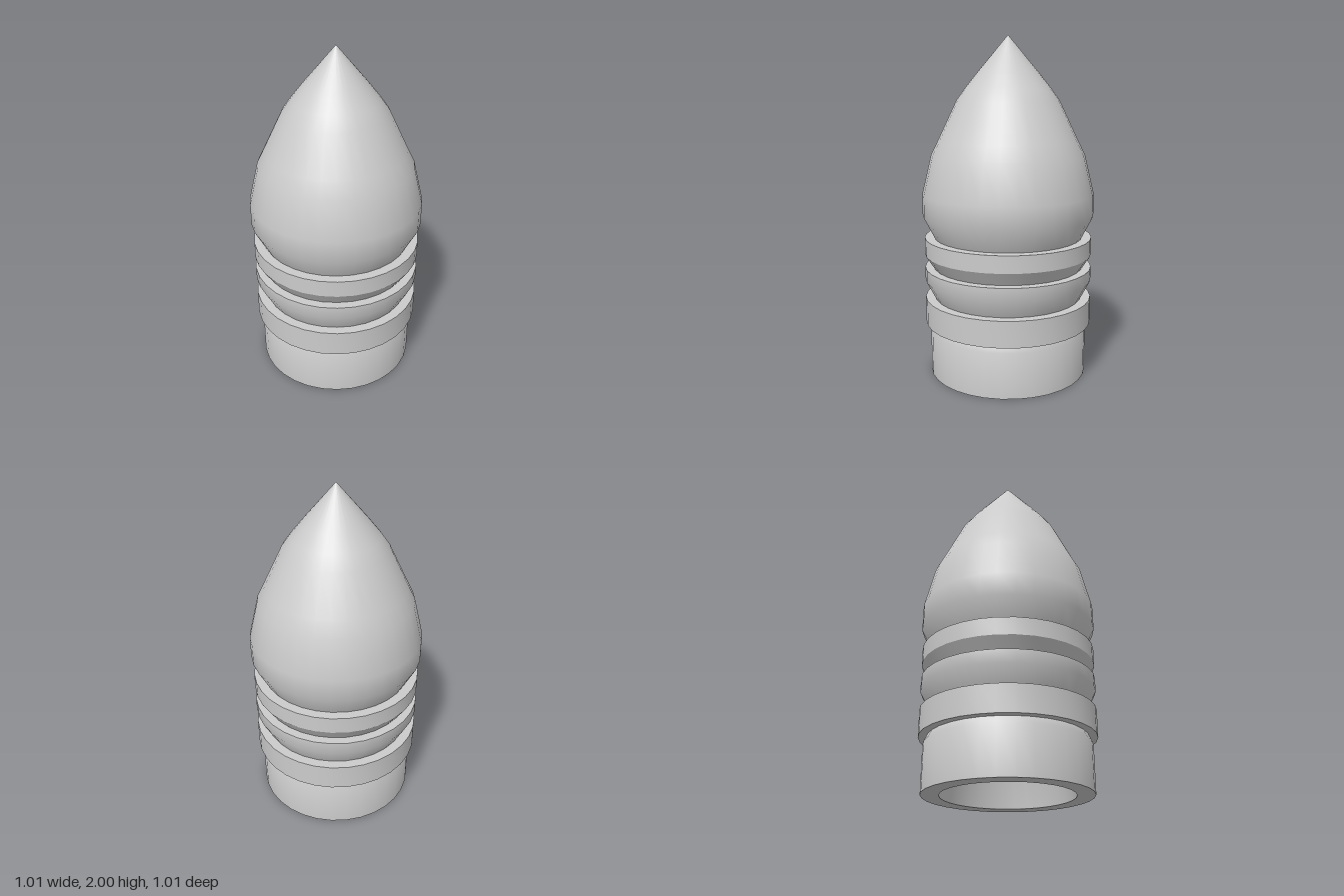
import * as THREE from 'three';
import { toCreasedNormals } from 'three/addons/utils/BufferGeometryUtils.js';

const SEGMENTS = 32;

export function createModel() {
  const group = new THREE.Group();
  const material = new THREE.MeshStandardMaterial({ color: 0xcccccc });

  // Turned section from [radius, height] points, with sharp edges kept
  function turned(name, points) {
    const profile = points.map(([r, y]) => new THREE.Vector2(r, y));
    const geometry = toCreasedNormals(new THREE.LatheGeometry(profile, SEGMENTS), 0.53);
    const mesh = new THREE.Mesh(geometry, material);
    mesh.name = name;
    group.add(mesh);
  }

  // Hollow base: tapered cavity, flat rim and outer skirt
  turned('hollowSkirt', [
    [0, 0.74], [0.16, 0.71], [0.26, 0.62], [0.32, 0.45], [0.37, 0],
    [0.47, 0], [0.47, 0.27], [0.45, 0.31],
  ]);

  // Lower band with flat ledges
  turned('lowerBand', [[0.45, 0.31], [0.497, 0.31], [0.497, 0.465], [0.44, 0.465]]);

  // Middle band, flaring up out of its groove
  turned('middleBand', [[0.44, 0.465], [0.497, 0.575], [0.497, 0.65], [0.445, 0.65]]);

  // Upper band, flaring up out of its groove
  turned('upperBand', [[0.445, 0.65], [0.497, 0.73], [0.497, 0.83], [0.44, 0.83]]);

  // Pointed nose rising from the top groove
  turned('nose', [
    [0.44, 0.83], [0.506, 0.96], [0.506, 1.09], [0.45, 1.32], [0.41, 1.4],
    [0.3, 1.63], [0.25, 1.7], [0.186, 1.78], [0, 2],
  ]);

  return group;
}
